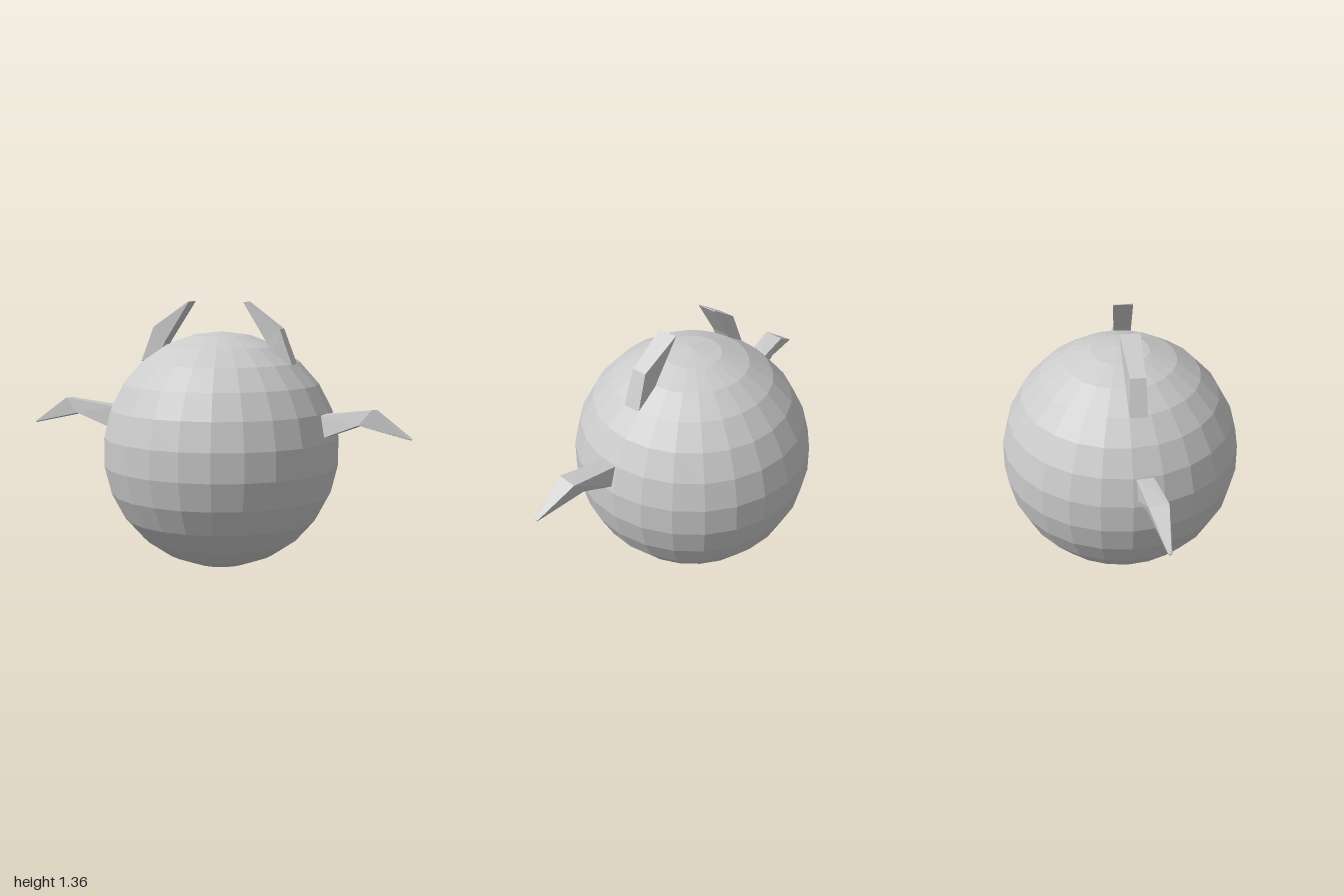
import * as THREE from 'three';

const material = new THREE.MeshStandardMaterial({ color: 0xcccccc, flatShading: true });

// Lofts four-cornered cross-sections into a closed solid; side = -1 mirrors it in x.
// Corners run clockwise as seen looking back from the tip towards the base.
function loft(sections, side) {
  const positions = [];
  const tri = (a, b, c) => {
    for (const p of side > 0 ? [a, b, c] : [a, c, b]) positions.push(p[0] * side, p[1], p[2]);
  };
  const quad = (a, b, c, d) => { tri(a, b, c); tri(a, c, d); };
  for (let s = 0; s < sections.length - 1; s++) {
    const p = sections[s], q = sections[s + 1];
    for (let i = 0; i < 4; i++) {
      const j = (i + 1) % 4;
      quad(p[i], p[j], q[j], q[i]);
    }
  }
  const first = sections[0], last = sections[sections.length - 1];
  quad(first[3], first[2], first[1], first[0]);
  quad(...last);
  const geometry = new THREE.BufferGeometry();
  geometry.setAttribute('position', new THREE.Float32BufferAttribute(positions, 3));
  geometry.computeVertexNormals();
  return geometry;
}

// Horn: base, knee, then a chisel edge at the tip
// (outer front, outer back, inner back, inner front)
const hornSections = [
  [[0.40, 1.05, 0.09], [0.40, 1.05, 0.0], [0.30, 1.09, 0.0], [0.30, 1.09, 0.09]],
  [[0.335, 1.225, 0.085], [0.335, 1.225, 0.01], [0.27, 1.155, -0.005], [0.27, 1.155, 0.085]],
  [[0.147, 1.355, 0.08], [0.147, 1.355, -0.02], [0.145, 1.352, -0.02], [0.145, 1.352, 0.08]],
];

// Arm: base sunk in the body, raised elbow, then a drooping point
// (top back, top front, bottom front, bottom back)
const armSections = [
  [[0.55, 0.81, 0.015], [0.55, 0.81, 0.10], [0.56, 0.70, 0.12], [0.56, 0.69, 0.02]],
  [[0.815, 0.843, 0.04], [0.81, 0.852, 0.135], [0.745, 0.775, 0.14], [0.75, 0.765, 0.045]],
  [[1.0, 0.72, 0.105], [1.0, 0.72, 0.12], [0.998, 0.716, 0.125], [0.998, 0.711, 0.11]],
];

export function createModel() {
  const model = new THREE.Group();
  model.name = 'hornedBall';
  const add = (name, geometry) => {
    const mesh = new THREE.Mesh(geometry, material);
    mesh.name = name;
    model.add(mesh);
    return mesh;
  };

  // Faceted round body
  add('body', new THREE.SphereGeometry(0.602, 24, 13)).position.y = 0.602;

  // Mirrored horns and arms
  for (const [label, side] of [['left', 1], ['right', -1]]) {
    add(label + 'Horn', loft(hornSections, side));
    add(label + 'Arm', loft(armSections, side));
  }
  return model;
}
